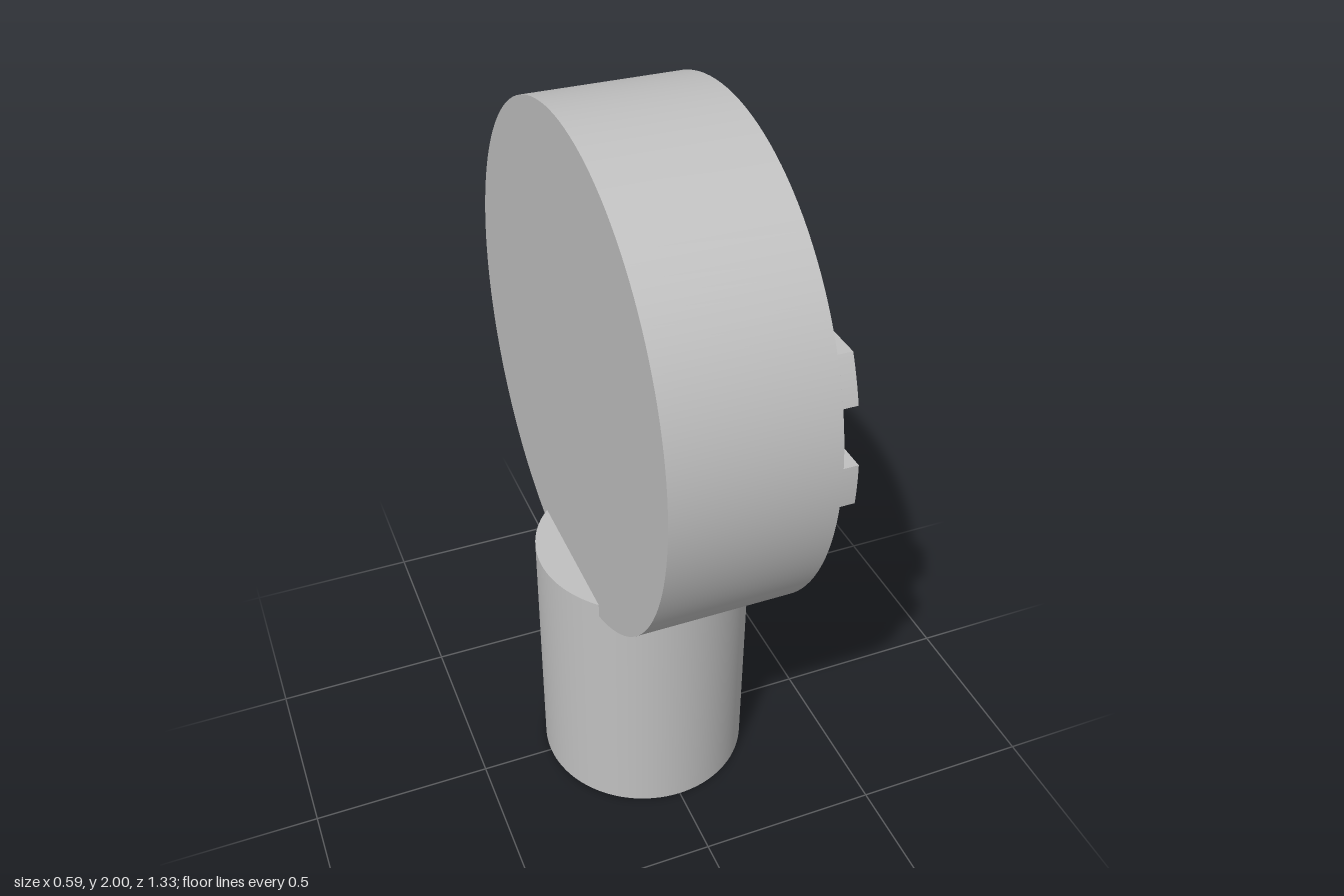
import * as THREE from 'three';

const R = 0.667;        // disc radius
const HALF = 0.206;     // half the disc thickness
const CENTER_Y = 1.333; // disc centre height

export function createModel() {
  const model = new THREE.Group();
  const grey = new THREE.MeshStandardMaterial({ color: 0xc0c0c0 });
  grey.name = 'light grey';

  const add = (name, geometry, y) => {
    const mesh = new THREE.Mesh(geometry, grey);
    mesh.name = name;
    mesh.position.y = y;
    model.add(mesh);
  };

  // Round stem the disc sinks into
  add('stem', new THREE.CylinderGeometry(0.295, 0.295, 0.74, 96), 0.37);

  // Upright disc with its axis along x
  add('disc', new THREE.CylinderGeometry(R, R, HALF * 2, 128).rotateZ(Math.PI / 2), CENTER_Y);

  // Raised bars across the left face, with ends following the disc rim
  const bar = (y0, y1) => {
    const a0 = Math.asin((y0 - CENTER_Y) / R);
    const a1 = Math.asin((y1 - CENTER_Y) / R);
    const shape = new THREE.Shape();
    shape.absarc(0, 0, R, a0, a1, false);
    shape.absarc(0, 0, R, Math.PI - a1, Math.PI - a0, false);
    return new THREE.ExtrudeGeometry(shape, { depth: 0.037, bevelEnabled: false, curveSegments: 8 })
      .translate(0, 0, HALF)
      .rotateY(Math.PI / 2);
  };
  add('lowerBar', bar(1.285, 1.39), CENTER_Y);
  add('upperBar', bar(1.53, 1.64), CENTER_Y);

  return model;
}
